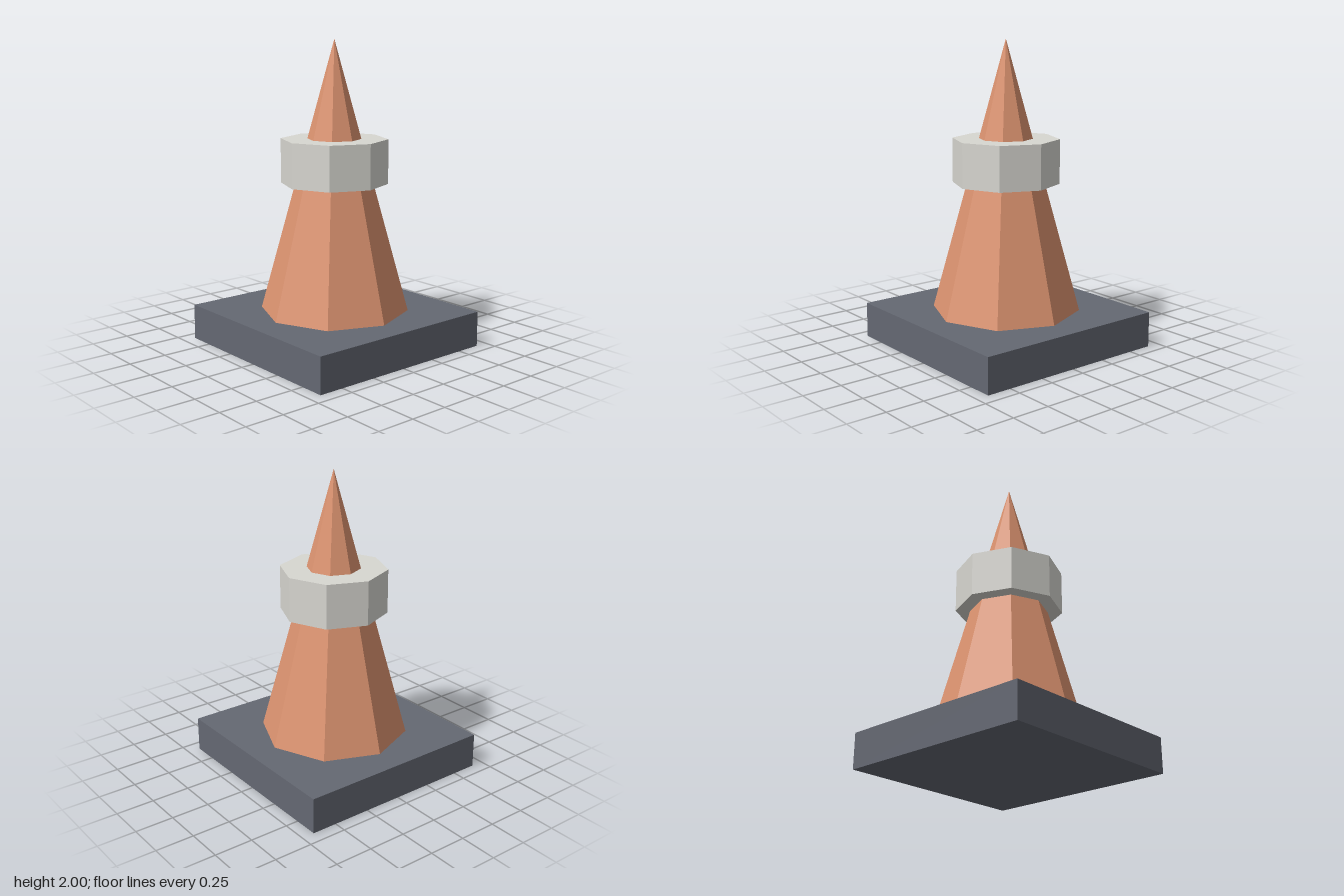
import * as THREE from 'three';

export function createModel() {
  const slate = new THREE.MeshStandardMaterial({ color: 0x646872 });
  slate.name = 'slate';
  const copper = new THREE.MeshStandardMaterial({ color: 0xdc9370 });
  copper.name = 'copper';
  const paleStone = new THREE.MeshStandardMaterial({ color: 0xd8d7d1 });
  paleStone.name = 'paleStone';
  for (const m of [slate, copper, paleStone]) m.flatShading = true;

  const SIDES = 8;
  const group = new THREE.Group();
  group.name = 'spireOnPlinth';

  // Adds a part standing on the given height
  const add = (name, geometry, material, bottom, height) => {
    const mesh = new THREE.Mesh(geometry, material);
    mesh.name = name;
    mesh.position.y = bottom + height / 2;
    group.add(mesh);
  };

  // Square plinth
  add('plinth', new THREE.BoxGeometry(1.333, 0.233, 1.333), slate, 0, 0.233);

  // Eight-sided spire rising to a point
  add('spire', new THREE.ConeGeometry(0.485, 1.767, SIDES), copper, 0.233, 1.767);

  // Eight-sided collar around the spire
  add('collar', new THREE.CylinderGeometry(0.348, 0.348, 0.29, SIDES), paleStone, 1.075, 0.29);

  return group;
}
